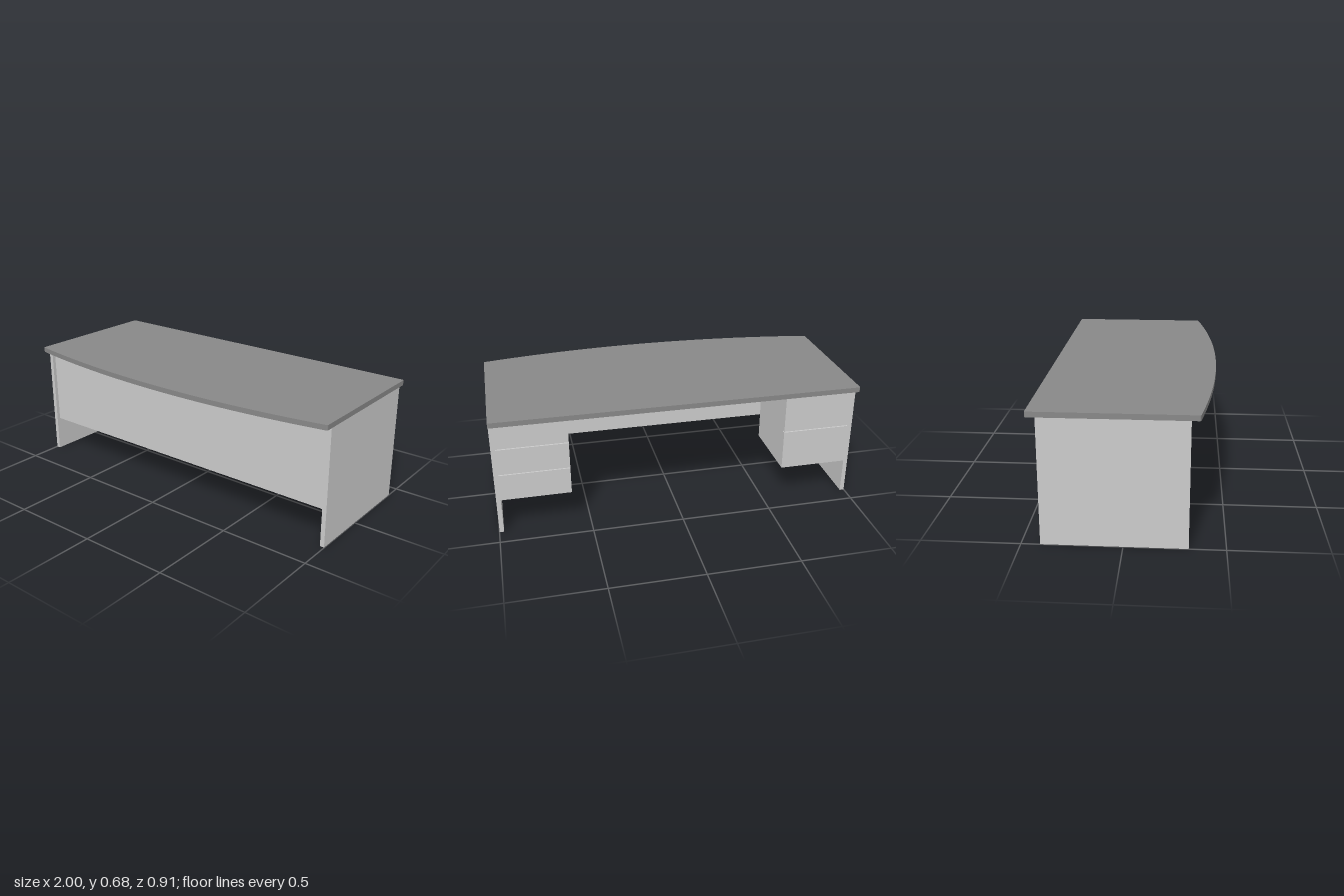
import * as THREE from 'three';

const grey = new THREE.MeshStandardMaterial({ color: 0xcccccc });
const darkGrey = new THREE.MeshStandardMaterial({ color: 0x888888 });

const TOP_Y = 0.655;   // underside of the desktop
const SIDE = 0.975;    // inner face of the side panels
const BACK = -0.405;   // user's side of the panels
const LOW = 0.2;       // bottom of modesty panel and pedestals

// Box given by its minimum and maximum corners
function box(name, x0, x1, y0, y1, z0, z1) {
  const mesh = new THREE.Mesh(new THREE.BoxGeometry(x1 - x0, y1 - y0, z1 - z0), grey);
  mesh.position.set((x0 + x1) / 2, (y0 + y1) / 2, (z0 + z1) / 2);
  mesh.name = name;
  return mesh;
}

// Desktop with a bowed front edge and tiny rounded corners
function makeDesktop() {
  const back = 0.453, end = -0.36, bow = 0.093, r = 0.008;
  const R = (1 + bow * bow) / (2 * bow);
  const a = Math.asin((1 - r) / R);
  const s = new THREE.Shape();
  s.moveTo(1, end + r);
  s.lineTo(1, back - r);
  s.quadraticCurveTo(1, back, 1 - r, back);
  s.lineTo(-1 + r, back);
  s.quadraticCurveTo(-1, back, -1, back - r);
  s.lineTo(-1, end + r);
  s.quadraticCurveTo(-1, end, -1 + r, -0.453 + R - R * Math.cos(a));
  s.absarc(0, -0.453 + R, R, -Math.PI / 2 - a, -Math.PI / 2 + a, false);
  s.quadraticCurveTo(1, end, 1, end + r);
  const g = new THREE.ExtrudeGeometry(s, { depth: 0.028, bevelEnabled: false, curveSegments: 24 });
  g.rotateX(-Math.PI / 2);
  const mesh = new THREE.Mesh(g, darkGrey);
  mesh.position.y = TOP_Y;
  mesh.name = 'desktop';
  return mesh;
}

// Hanging pedestal: carcass plus drawer fronts separated by narrow gaps
function makePedestal(name, side, drawers) {
  const group = new THREE.Group();
  group.name = name;
  const x0 = side > 0 ? 0.597 : -SIDE;
  const x1 = side > 0 ? SIDE : -0.597;
  const front = 0.018, gap = 0.005, h = (TOP_Y - LOW) / drawers;
  group.add(box('carcass', x0, x1, LOW, TOP_Y, BACK + front, BACK + 0.4));
  for (let i = 0; i < drawers; i++) {
    const y0 = LOW + i * h + (i > 0 ? gap / 2 : 0);
    const y1 = LOW + (i + 1) * h - (i < drawers - 1 ? gap / 2 : 0);
    group.add(box('drawerFront', x0, x1, y0, y1, BACK, BACK + front));
  }
  return group;
}

export function createModel() {
  const desk = new THREE.Group();
  desk.name = 'desk';
  desk.add(makeDesktop());
  desk.add(box('leftSidePanel', SIDE, 0.999, 0, TOP_Y, BACK, 0.318));
  desk.add(box('rightSidePanel', -0.999, -SIDE, 0, TOP_Y, BACK, 0.318));
  desk.add(box('modestyPanel', -SIDE, SIDE, LOW, TOP_Y, 0.273, 0.298));
  desk.add(makePedestal('leftPedestal', 1, 3));
  desk.add(makePedestal('rightPedestal', -1, 2));
  return desk;
}
